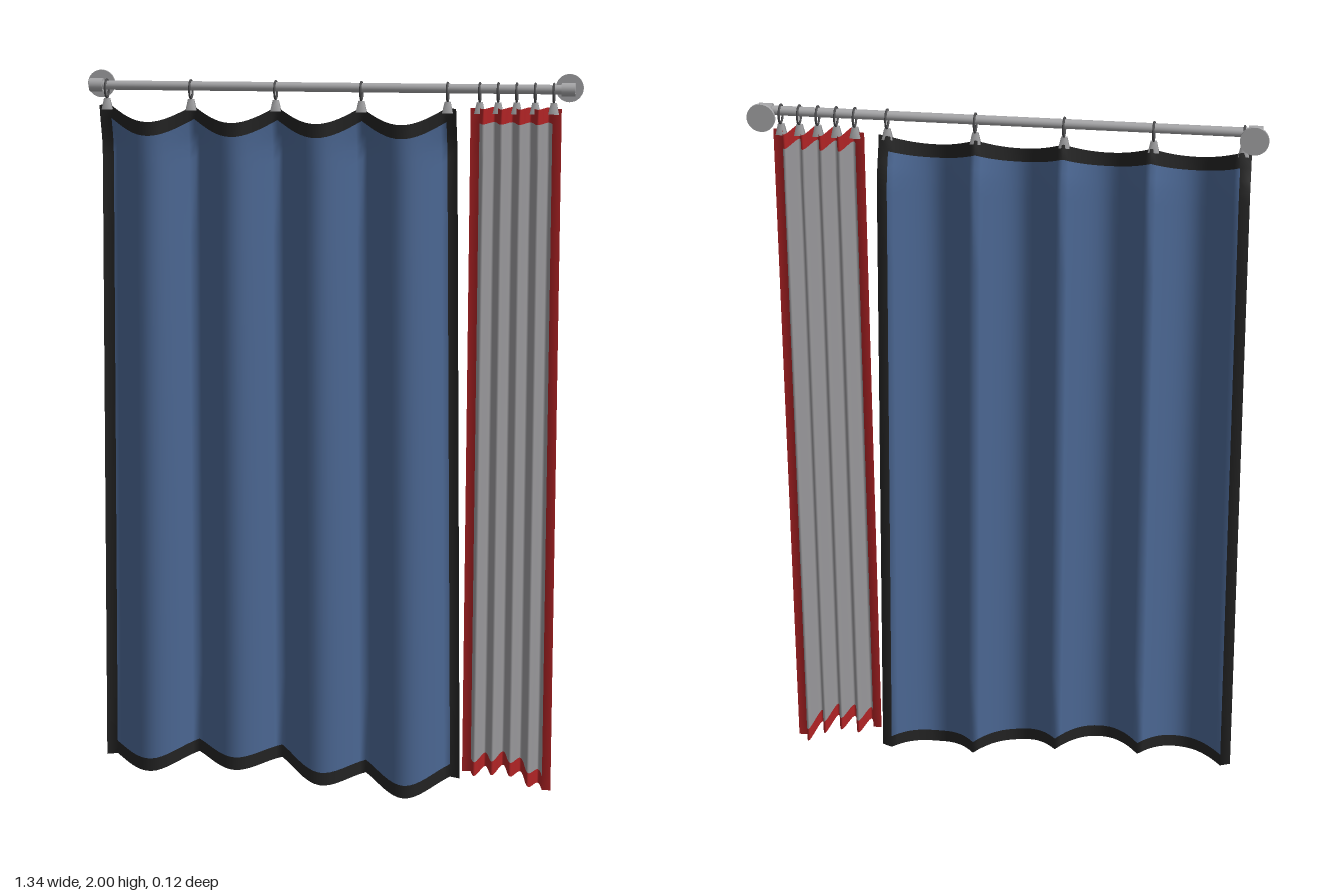
import * as THREE from 'three';

const mat = (name, color, side = THREE.FrontSide) => {
  const m = new THREE.MeshStandardMaterial({ color, side });
  m.name = name;
  return m;
};

export function createModel() {
  const root = new THREE.Group();
  root.name = 'curtainSet';
  const metal = mat('brushed metal', 0xa6a6a8);
  const darkMetal = mat('dark metal', 0x4a4a4c);
  const blue = mat('blue cloth', 0x4b6793, THREE.DoubleSide);
  const black = mat('black hem', 0x232323, THREE.DoubleSide);
  const grey = mat('grey cloth', 0x98979a, THREE.DoubleSide);
  const red = mat('red hem', 0xb02325, THREE.DoubleSide);
  const rodY = 1.963;

  const add = (name, geo, material, x = 0, y = 0, z = 0, parent = root) => {
    const m = new THREE.Mesh(geo, material);
    m.name = name;
    m.position.set(x, y, z);
    parent.add(m);
    return m;
  };
  const rodX = (r, len, n = 24) => new THREE.CylinderGeometry(r, r, len, n).rotateZ(Math.PI / 2);
  const rodZ = (r, len, n = 24) => new THREE.CylinderGeometry(r, r, len, n).rotateX(Math.PI / 2);

  // Rod and the two wall brackets
  add('rod', rodX(0.0125, 1.29), metal, 0, rodY, 0);
  for (const s of [-1, 1]) {
    const bracket = new THREE.Group();
    bracket.name = s > 0 ? 'leftBracket' : 'rightBracket';
    bracket.position.set(s * 0.633, rodY, 0);
    root.add(bracket);
    add('collar', rodX(0.018, 0.036), metal, 0, 0, 0, bracket);
    add('arm', rodZ(0.012, 0.06), metal, 0, 0, -0.03, bracket);
    add('wallPlate', rodZ(0.037, 0.009, 32), metal, 0, 0, -0.06, bracket);
  }

  // Rings with clips
  const ringGeo = new THREE.TorusGeometry(0.024, 0.003, 8, 24).rotateY(Math.PI / 2);
  const clipGeo = new THREE.CylinderGeometry(0.011, 0.02, 0.03, 4, 1)
    .rotateY(Math.PI / 4).scale(1, 1, 0.55);
  const hang = (x) => {
    const g = new THREE.Group();
    g.name = 'ringAndClip';
    g.position.set(x, 0, 0);
    root.add(g);
    add('ring', ringGeo, darkMetal, 0, 1.954, 0, g);
    add('clip', clipGeo, metal, 0, 1.913, 0, g);
  };
  for (let i = 0; i < 5; i++) {
    hang(-0.605 + i * 0.23);
    hang(0.4 + i * 0.0487);
  }

  // Cloth sheet: folds between two hemmed sides, hems top and bottom.
  // t runs 0..1 over the folds; -1 and 2 mark the outer side edges.
  function cloth(name, o) {
    const ts = [-1];
    for (let i = 0; i <= o.cols; i++) ts.push(i / o.cols);
    ts.push(2);
    const drops = [0, o.hem, 0.07, 0.1, 0.14];
    const mid = 8, rows = drops.length + mid + 1, cols = ts.length;
    const pos = [], panel = [], hem = [];
    for (let j = 0; j < rows; j++) {
      for (const t of ts) {
        const c = THREE.MathUtils.clamp(t, 0, 1);
        const top = o.top(c), bottom = o.bottom(c);
        let y = bottom;
        if (j < drops.length) y = top - drops[j];
        else if (j < rows - 1)
          y = THREE.MathUtils.lerp(top - 0.14, bottom + o.hem, (j - drops.length + 1) / mid);
        const v = THREE.MathUtils.clamp((1.91 - y) / 1.85, 0, 1);
        const x0 = THREE.MathUtils.lerp(o.left[0], o.left[1], v);
        const x1 = THREE.MathUtils.lerp(o.right[0], o.right[1], v);
        let x = x0 + (x1 - x0) * c, z = o.fold(c, y);
        if (t !== c) {
          x += t < 0 ? -o.side : o.side;
          z += o.flare;
        }
        pos.push(x, y, z);
      }
    }
    for (let j = 0; j < rows - 1; j++) {
      for (let i = 0; i < cols - 1; i++) {
        const a = j * cols + i, b = a + cols;
        const edge = j === 0 || j === rows - 2 || i === 0 || i === cols - 2;
        (edge ? hem : panel).push(a, b, a + 1, b, b + 1, a + 1);
      }
    }
    const g = new THREE.BufferGeometry();
    g.setAttribute('position', new THREE.Float32BufferAttribute(pos, 3));
    g.setIndex([...panel, ...hem]);
    g.addGroup(0, panel.length, 0);
    g.addGroup(panel.length, hem.length, 1);
    g.computeVertexNormals();
    add(name, g, o.materials);
  }

  // Uneven lower edges
  const edgeCurve = (pts) => {
    const c = new THREE.SplineCurve(pts.map((y, i) => new THREE.Vector2(i, y)));
    return (t) => c.getPoint(t).y;
  };

  // Wide drawn curtain with four round folds
  const bulge = (t) => Math.abs(Math.sin(4 * Math.PI * t));
  cloth('wideCurtain', {
    cols: 64, hem: 0.037, side: 0.028, flare: 0.012,
    left: [-0.598, -0.62], right: [0.31, 0.336],
    top: (t) => 1.91 - 0.04 * bulge(t),
    bottom: edgeCurve([0.058, 0.045, 0.076, 0.06, 0.07, 0.027, 0.036, 0, 0.035]),
    fold: (t, y) => {
      const k = THREE.MathUtils.smoothstep(1.91 - y, -0.02, 0.13);
      const back = -0.008 - 0.037 * k;
      return back + (0.055 - back) * bulge(t);
    },
    materials: [blue, black],
  });

  // Narrow gathered curtain with tight pleats
  cloth('gatheredCurtain', {
    cols: 64, hem: 0.04, side: 0.024, flare: 0,
    left: [0.4, 0.398], right: [0.592, 0.597],
    top: () => 1.913,
    bottom: edgeCurve([0.07, 0.074, 0.078, 0.055, 0.025]),
    fold: (t) => 0.04 * Math.sin(8 * Math.PI * t),
    materials: [grey, red],
  });

  return root;
}
